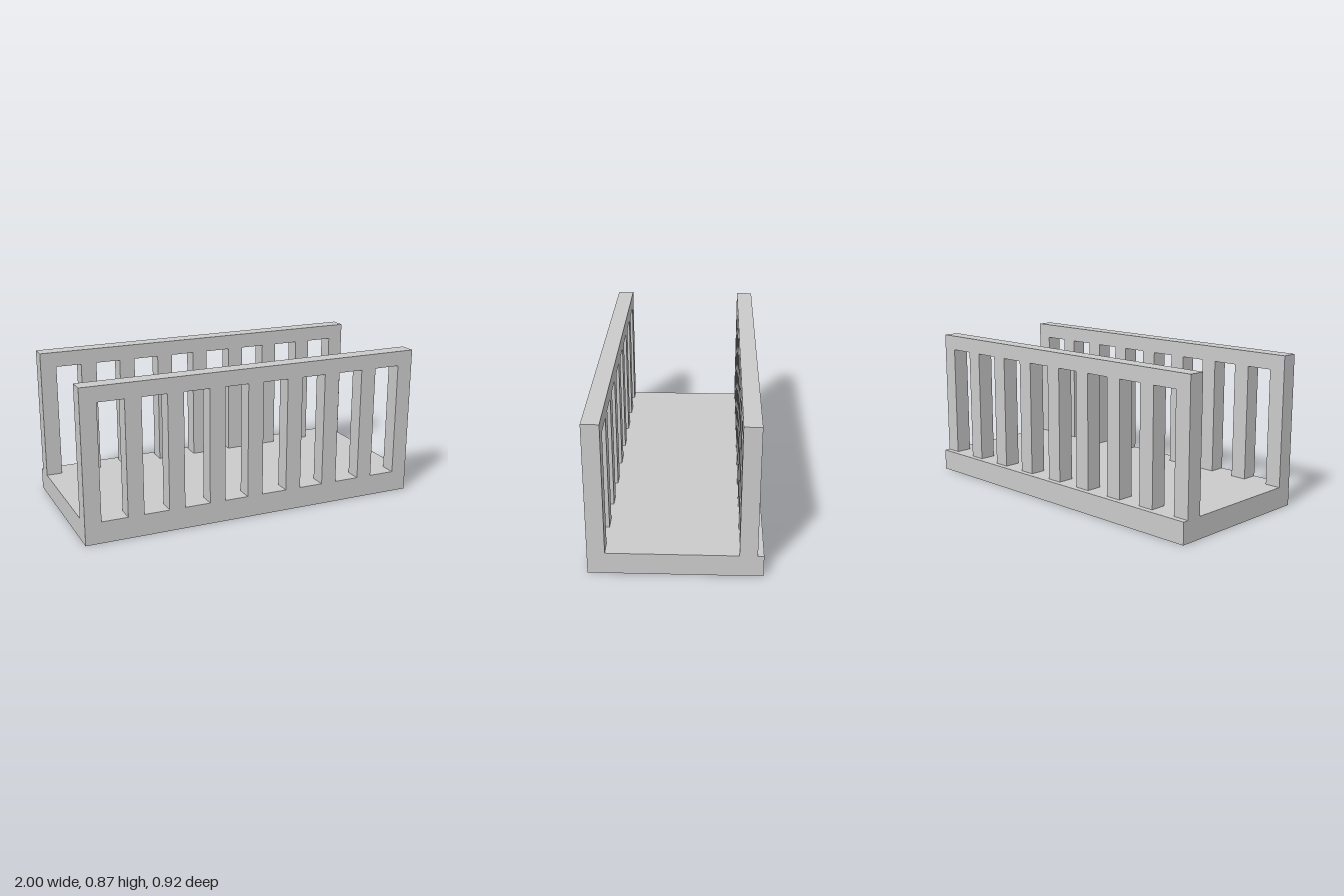
import * as THREE from 'three';

const material = new THREE.MeshStandardMaterial({ color: 0xcccccc, flatShading: true });

// Box given by its minimum and maximum corners
function box(name, [x0, y0, z0], [x1, y1, z1]) {
  const mesh = new THREE.Mesh(new THREE.BoxGeometry(x1 - x0, y1 - y0, z1 - z0), material);
  mesh.name = name;
  mesh.position.set((x0 + x1) / 2, (y0 + y1) / 2, (z0 + z1) / 2);
  return mesh;
}

const DECK_TOP = 0.123, RAIL_BOTTOM = 0.779, RAIL_TOP = 0.865;
const THICKNESS = 0.094, POST_WIDTH = 0.092;
// Left edge of each post, slightly uneven
const POST_STARTS = [-1, -0.76, -0.524, -0.284, -0.054, 0.187, 0.422, 0.662, 0.908];

// Top rail carried by a row of square posts
function railing(name, z0) {
  const group = new THREE.Group();
  group.name = name;
  const z1 = z0 + THICKNESS;
  group.add(box('topRail', [-1, RAIL_BOTTOM, z0], [1, RAIL_TOP, z1]));
  for (const x of POST_STARTS) {
    group.add(box('post', [x, DECK_TOP, z0], [x + POST_WIDTH, RAIL_BOTTOM, z1]));
  }
  return group;
}

export function createModel() {
  const model = new THREE.Group();
  model.name = 'footbridge';
  model.add(box('deck', [-1, 0, -0.459], [1, DECK_TOP, 0.459]));
  // Front railing is flush with the deck edge, the back one is set in a little
  model.add(railing('frontRailing', 0.365));
  model.add(railing('backRailing', -0.426));
  return model;
}
